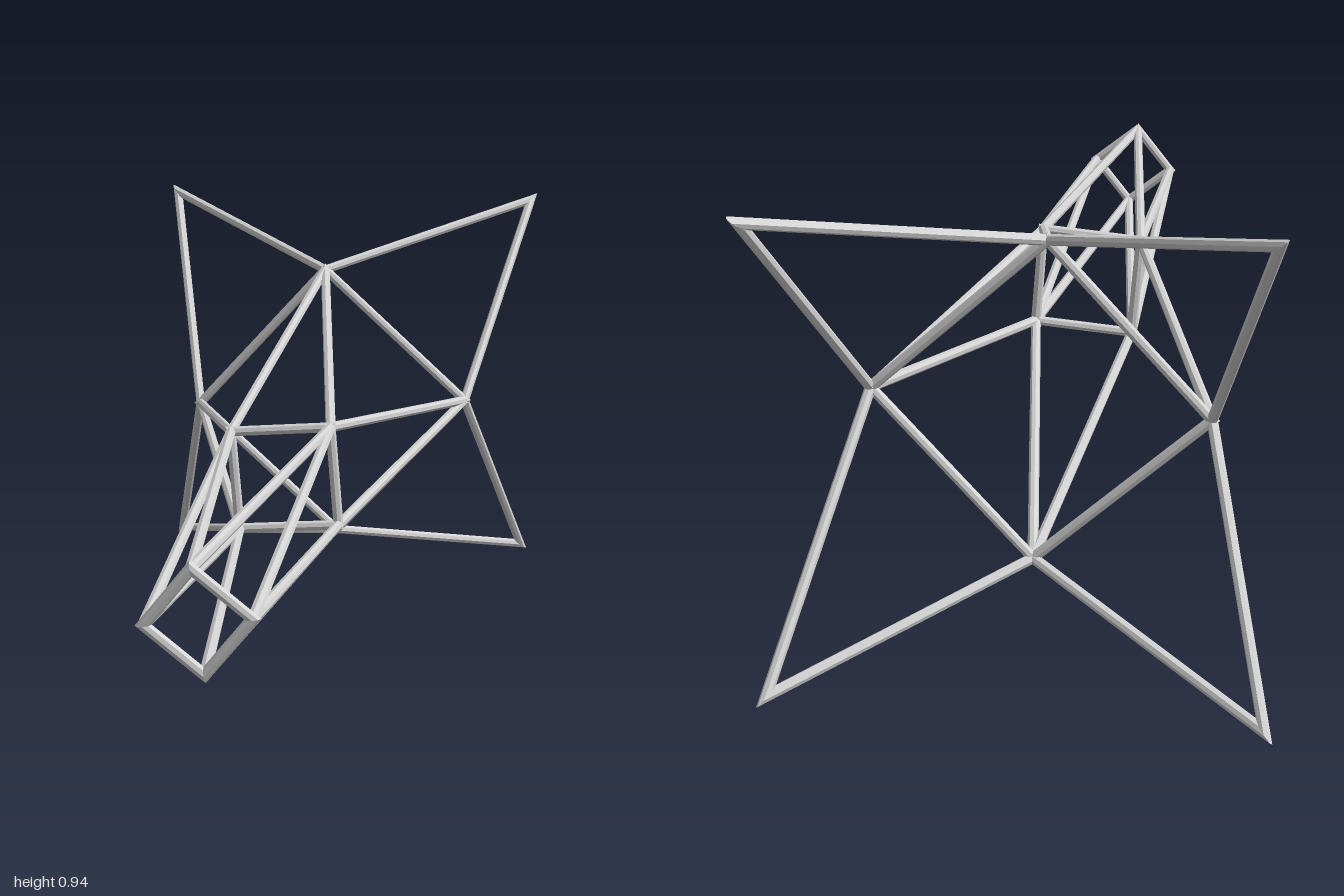
import * as THREE from 'three';

const CENTRE_Y = 0.47;
const RADIUS = 0.0108;

// Four points made by quarter turns of (x, y) about the long axis
function ring(x, y, z) {
  return [[x, y], [-y, x], [-x, -y], [y, -x]].map(([a, b]) => new THREE.Vector3(a, CENTRE_Y + b, z));
}

export function createModel() {
  const group = new THREE.Group();
  const steel = new THREE.MeshStandardMaterial({ color: 0xd2d2d2, flatShading: true });
  steel.name = 'light grey steel';

  // Straight strut from a to b; an end given a neighbour point is mitred against that strut
  function strut(name, a, b, nextA, nextB) {
    const dir = b.clone().sub(a);
    const length = dir.length();
    dir.normalize();
    const geo = new THREE.CylinderGeometry(RADIUS, RADIUS, length, 8);
    geo.translate(0, length / 2, 0);
    geo.applyQuaternion(new THREE.Quaternion().setFromUnitVectors(new THREE.Vector3(0, 1, 0), dir));
    geo.translate(a.x, a.y, a.z);
    const pos = geo.attributes.position;
    const v = new THREE.Vector3();
    const mitre = (end, other, next) => {
      if (!next) return;
      const along = other.clone().sub(end).normalize();
      const normal = along.clone().sub(next.clone().sub(end).normalize()).normalize();
      for (let i = 0; i < pos.count; i++) {
        v.fromBufferAttribute(pos, i);
        if (v.clone().sub(end).dot(along) > length / 2) continue;
        const slide = -v.clone().sub(end).dot(normal) / along.dot(normal);
        v.addScaledVector(along, slide);
        pos.setXYZ(i, v.x, v.y, v.z);
      }
    };
    mitre(a, b, nextA);
    mitre(b, a, nextB);
    geo.computeVertexNormals();
    const mesh = new THREE.Mesh(geo, steel);
    mesh.name = name;
    group.add(mesh);
  }

  const front = ring(0.096, 0.011, 0.989);
  const middle = ring(0.098, 0.116, 0.076);
  const rear = ring(0.326, 0.016, -0.62);
  const tips = ring(0.454, 0.454, -0.981);

  for (let i = 0; i < 4; i++) {
    const j = (i + 1) % 4, k = (i + 2) % 4, h = (i + 3) % 4;
    // Square frames
    strut('frontFrame', front[i], front[j], front[h], front[k]);
    strut('middleFrame', middle[i], middle[j], middle[h], middle[k]);
    strut('rearFrame', rear[i], rear[j], rear[h], rear[k]);
    // Zigzag struts between the frames
    strut('frontStrut', front[i], middle[i]);
    strut('frontStrut', front[j], middle[i]);
    strut('rearStrut', middle[i], rear[i]);
    strut('rearStrut', middle[i], rear[j]);
    // Pointed outer fins
    strut('finStrut', rear[i], tips[i], null, rear[j]);
    strut('finStrut', rear[j], tips[i], null, rear[i]);
  }
  return group;
}
